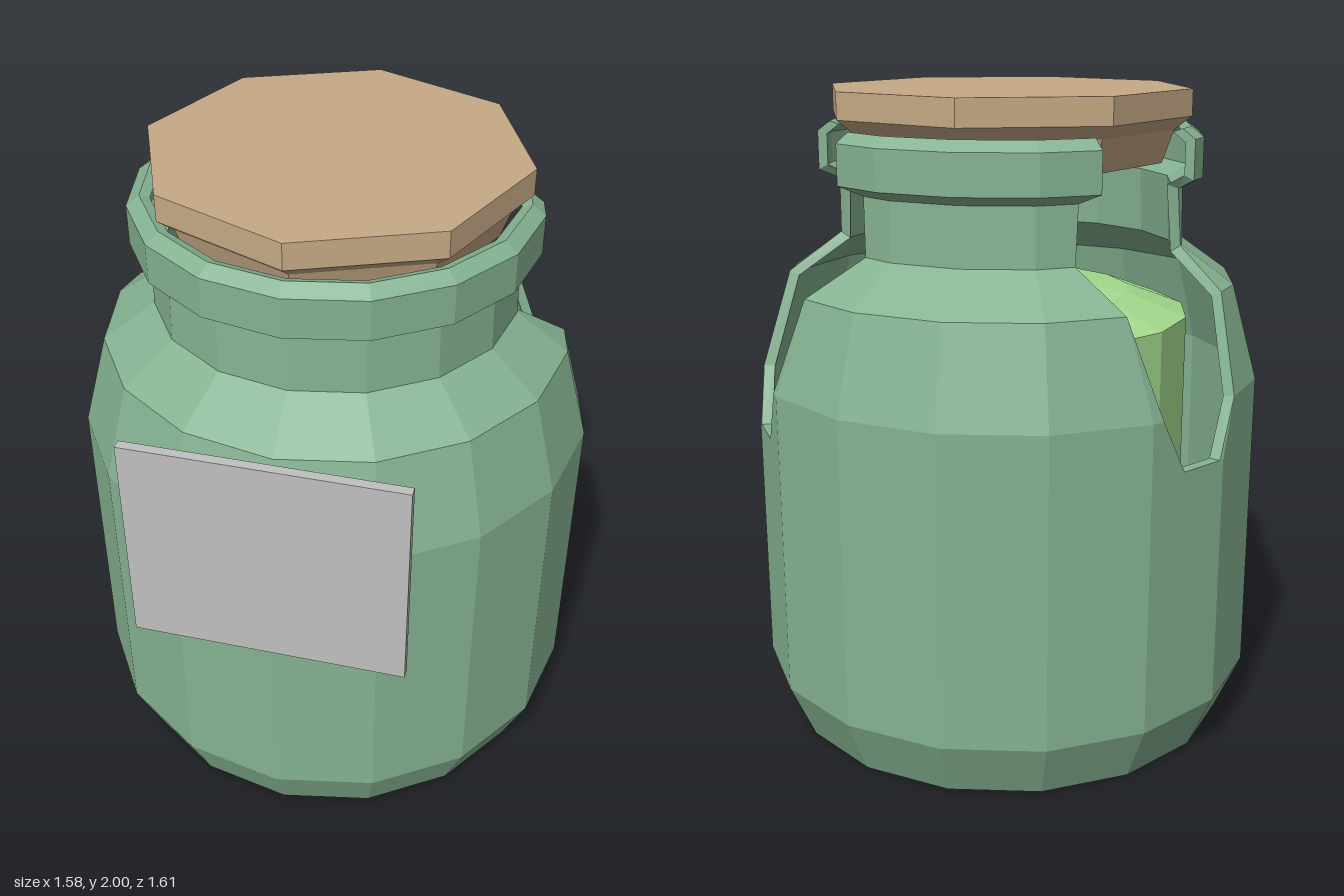
import * as THREE from 'three';

const flat = (name, color, side = THREE.FrontSide) => {
  const m = new THREE.MeshStandardMaterial({ color, flatShading: true, side });
  m.name = name;
  return m;
};

// Jar rows: [outer y, outer r, inner y, inner r, hole front angle, hole back angle]
const ROWS = [
  [0, 0, 0.04, 0, 23.6, 35],
  [0, 0.71, 0.04, 0.67, 23.6, 35],
  [0.18, 0.79, 0.19, 0.755, 23.6, 35],
  [0.96, 0.79, 0.96, 0.755, 23.6, 35],
  [1.13, 0.79, 1.125, 0.755, 16.4, 42],
  [1.42, 0.71, 1.405, 0.68, 10, 48],
  [1.535, 0.55, 1.515, 0.52, 1.6, 55],
  [1.71, 0.545, 1.72, 0.51, 4, 54],
  [1.74, 0.605, 1.755, 0.575, 8, 50],
  [1.86, 0.605, 1.85, 0.575, 8, 50],
  [1.89, 0.565, 1.88, 0.535, 8, 50],
];
const HOLE_ROW = 3; // the broken openings start at this row
const GAP = 6;      // column where the opening lies

// Point on a 16-sided ring; angle runs from +x towards -z
function ringPoint(y, r, deg) {
  const step = 22.5;
  const local = ((deg % step) + step) % step - step / 2;
  const rr = r * Math.cos(Math.PI / 16) / Math.cos(local * Math.PI / 180);
  const a = deg * Math.PI / 180;
  return new THREE.Vector3(rr * Math.cos(a), y, -rr * Math.sin(a));
}

// Hollow jar with a mirrored broken opening on each side
function jarGeometry() {
  const pos = [];
  const tri = (a, b, c, flip) => {
    const n = b.clone().sub(a).cross(c.clone().sub(a));
    if (n.length() < 1e-7) return;
    for (const p of flip ? [a, c, b] : [a, b, c]) pos.push(flip ? -p.x : p.x, p.y, p.z);
  };
  const quad = (a, b, c, d) => {
    for (const flip of [false, true]) {
      tri(a, b, c, flip);
      tri(a, c, d, flip);
    }
  };
  const columns = ([, , , , f, b]) =>
    [-90, -67.5, -45, -22.5, 0, Math.min(22.5, f), f, b, Math.max(45, b), 67.5, 90];
  const outer = ROWS.map((row) => columns(row).map((a) => ringPoint(row[0], row[1], a)));
  const inner = ROWS.map((row) => columns(row).map((a) => ringPoint(row[2], row[3], a)));
  const last = ROWS.length - 1;

  for (let i = 0; i < last; i++) {
    for (let j = 0; j < 10; j++) {
      if (j === GAP && i >= HOLE_ROW) continue;
      quad(outer[i][j], outer[i][j + 1], outer[i + 1][j + 1], outer[i + 1][j]);
      quad(inner[i][j + 1], inner[i][j], inner[i + 1][j], inner[i + 1][j + 1]);
    }
    // Wall thickness along both sides of the opening
    if (i >= HOLE_ROW) {
      const f = GAP, b = GAP + 1;
      quad(outer[i][f], inner[i][f], inner[i + 1][f], outer[i + 1][f]);
      quad(inner[i][b], outer[i][b], outer[i + 1][b], inner[i + 1][b]);
    }
  }
  // Wall thickness on the rim and at the foot of the opening
  for (let j = 0; j < 10; j++) {
    const i = j === GAP ? HOLE_ROW : last;
    quad(outer[i][j], outer[i][j + 1], inner[i][j + 1], inner[i][j]);
  }
  const g = new THREE.BufferGeometry();
  g.setAttribute('position', new THREE.Float32BufferAttribute(pos, 3));
  g.computeVertexNormals();
  return g;
}

const lathe = (points, sides) =>
  new THREE.LatheGeometry(points.map(([r, y]) => new THREE.Vector2(r, y)), sides);

export function createModel() {
  const group = new THREE.Group();
  const add = (name, geometry, material, x = 0, y = 0, z = -0.015) => {
    const mesh = new THREE.Mesh(geometry, material);
    mesh.name = name;
    mesh.position.set(x, y, z);
    group.add(mesh);
  };

  add('jar', jarGeometry(), flat('jarGreen', 0x86b392, THREE.DoubleSide));

  // Domed filling inside the jar
  add('contents', lathe([
    [0, 0.05], [0.52, 0.05], [0.57, 0.2], [0.57, 1.31], [0.385, 1.38], [0.14, 1.41], [0, 1.415],
  ], 16), flat('contentsGreen', 0xa5dc8e));

  // Eight-sided stopper with a bevel and a plug
  add('stopper', lathe([
    [0, 1.78], [0.48, 1.78], [0.515, 1.88], [0.567, 1.92], [0.567, 2], [0, 2],
  ], 8), flat('cork', 0xc6aa85));

  add('label', new THREE.BoxGeometry(0.81, 0.675, 0.03), flat('labelGrey', 0xc0c0c0), 0, 1.1275, 0.788);
  return group;
}
